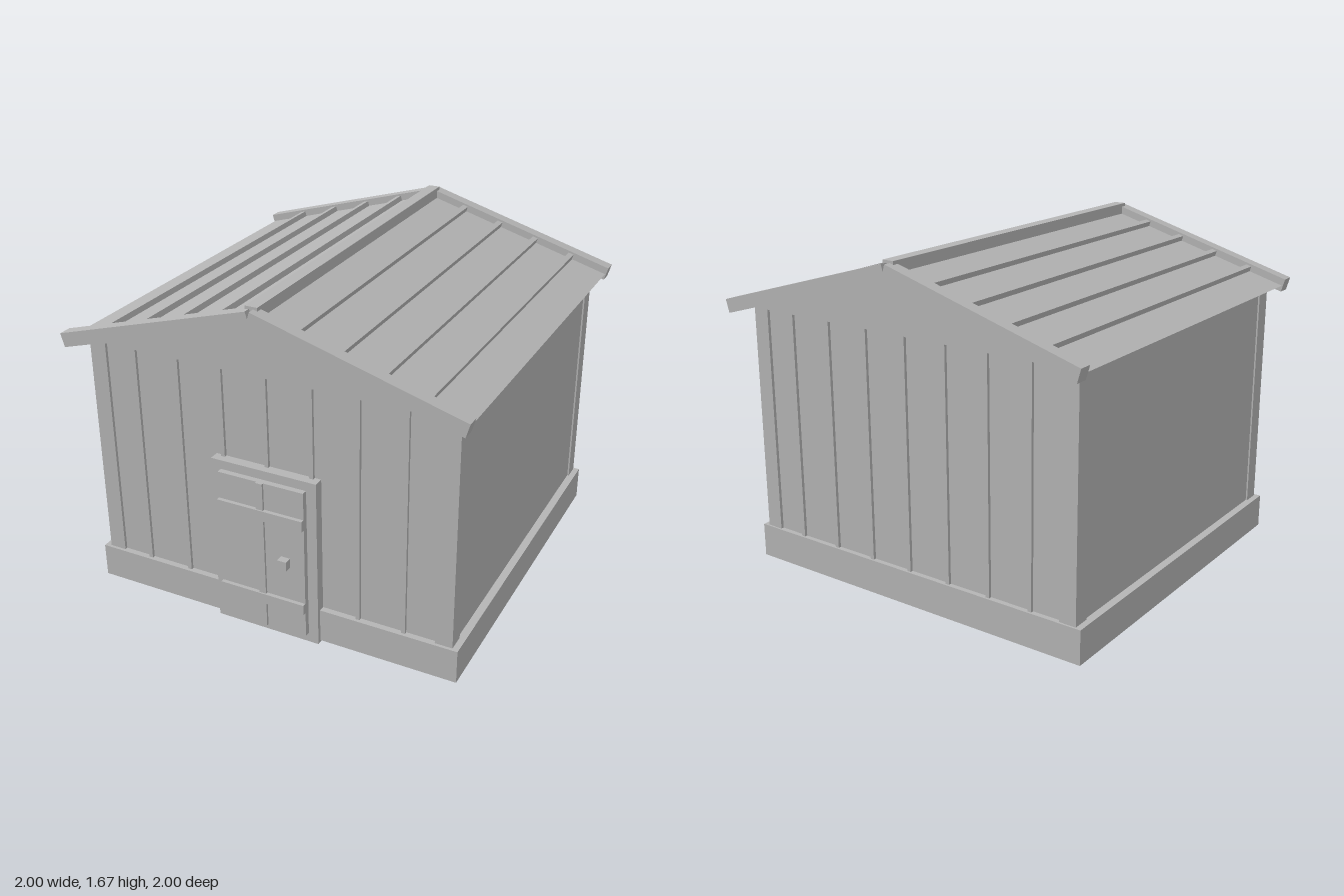
import * as THREE from 'three';

const grey = new THREE.MeshStandardMaterial({ color: 0xb4b4b4 });
grey.name = 'plain grey';

const APEX = 1.66;                   // height where the slopes meet
const PITCH = Math.atan(0.291);

export function createModel() {
  const model = new THREE.Group();
  model.name = 'shed';

  const group = (name) => {
    const g = new THREE.Group();
    g.name = name;
    model.add(g);
    return g;
  };

  // Box given by its limits on each axis
  const box = (parent, name, x0, x1, y0, y1, z0, z1) => {
    const mesh = new THREE.Mesh(new THREE.BoxGeometry(x1 - x0, y1 - y0, z1 - z0), grey);
    mesh.position.set((x0 + x1) / 2, (y0 + y1) / 2, (z0 + z1) / 2);
    mesh.name = name;
    parent.add(mesh);
    return mesh;
  };

  // Box lying on a roof slope: u runs down the slope, v is height off it
  const slopeBox = (parent, name, side, u0, u1, v0, v1, z0, z1) => {
    const slope = new THREE.Group();
    slope.position.y = APEX;
    slope.rotation.z = -side * PITCH;
    const a = side * u0, b = side * u1;
    box(slope, name, Math.min(a, b), Math.max(a, b), v0, v1, z0, z1);
    parent.add(slope);
  };

  // Base and walls
  box(model, 'base', -0.955, 0.955, 0.01, 0.18, -0.9, 0.905);
  const walls = group('walls');
  box(walls, 'wallCore', -0.917, 0.917, 0.17, 1.34, -0.875, 0.875);
  for (const sx of [-1, 1]) {
    for (const sz of [-1, 1]) {
      const x = sx * 0.8825, z = sz * 0.8475;
      box(walls, 'cornerPost', x - 0.0425, x + 0.0425, 0.17, 1.34, z - 0.0425, z + 0.0425);
    }
  }
  for (const sz of [-1, 1]) {
    for (let i = -3; i <= 3; i++) {
      const x = i * 0.228;
      box(walls, 'batten', x - 0.01, x + 0.01, 0.17, 1.34, sz * 0.88 - 0.01, sz * 0.88 + 0.01);
    }
  }

  // Solid roof with flat underside and gable ends
  const roof = group('roof');
  const gable = new THREE.Shape([
    new THREE.Vector2(-0.985, 1.335),
    new THREE.Vector2(0.985, 1.335),
    new THREE.Vector2(0, 1.622),
  ]);
  const prism = new THREE.Mesh(
    new THREE.ExtrudeGeometry(gable, { depth: 1.88, bevelEnabled: false }), grey);
  prism.position.z = -0.94;
  prism.name = 'roofBody';
  roof.add(prism);

  // Seams, gable edge boards and ridge cap
  for (const side of [-1, 1]) {
    for (let i = 1; i <= 4; i++) {
      const u = (i * 0.2) / Math.cos(PITCH);
      slopeBox(roof, 'roofSeam', side, u - 0.014, u + 0.014, -0.045, -0.01, -0.94, 0.94);
    }
    for (const z of [-1, 0.935]) {
      slopeBox(roof, 'gableEdgeBoard', side, 0.01, 1.042, -0.068, 0, z, z + 0.065);
    }
  }
  box(roof, 'ridgeCap', -0.03, 0.03, 1.61, 1.668, -0.965, 0.965);

  // Door with frame, rails and handle
  const door = group('door');
  box(door, 'doorFrame', -0.27, 0.27, 0, 0.865, 0.855, 0.925);
  box(door, 'doorPanel', -0.22, 0.22, 0.05, 0.82, 0.92, 0.953);
  box(door, 'doorStile', -0.018, 0.018, 0.05, 0.82, 0.95, 0.965);
  for (const y of [0.18, 0.632]) {
    box(door, 'doorRail', -0.22, 0.22, y, y + 0.052, 0.95, 0.972);
  }
  box(door, 'doorHandle', 0.098, 0.145, 0.41, 0.458, 0.95, 0.99);

  return model;
}
